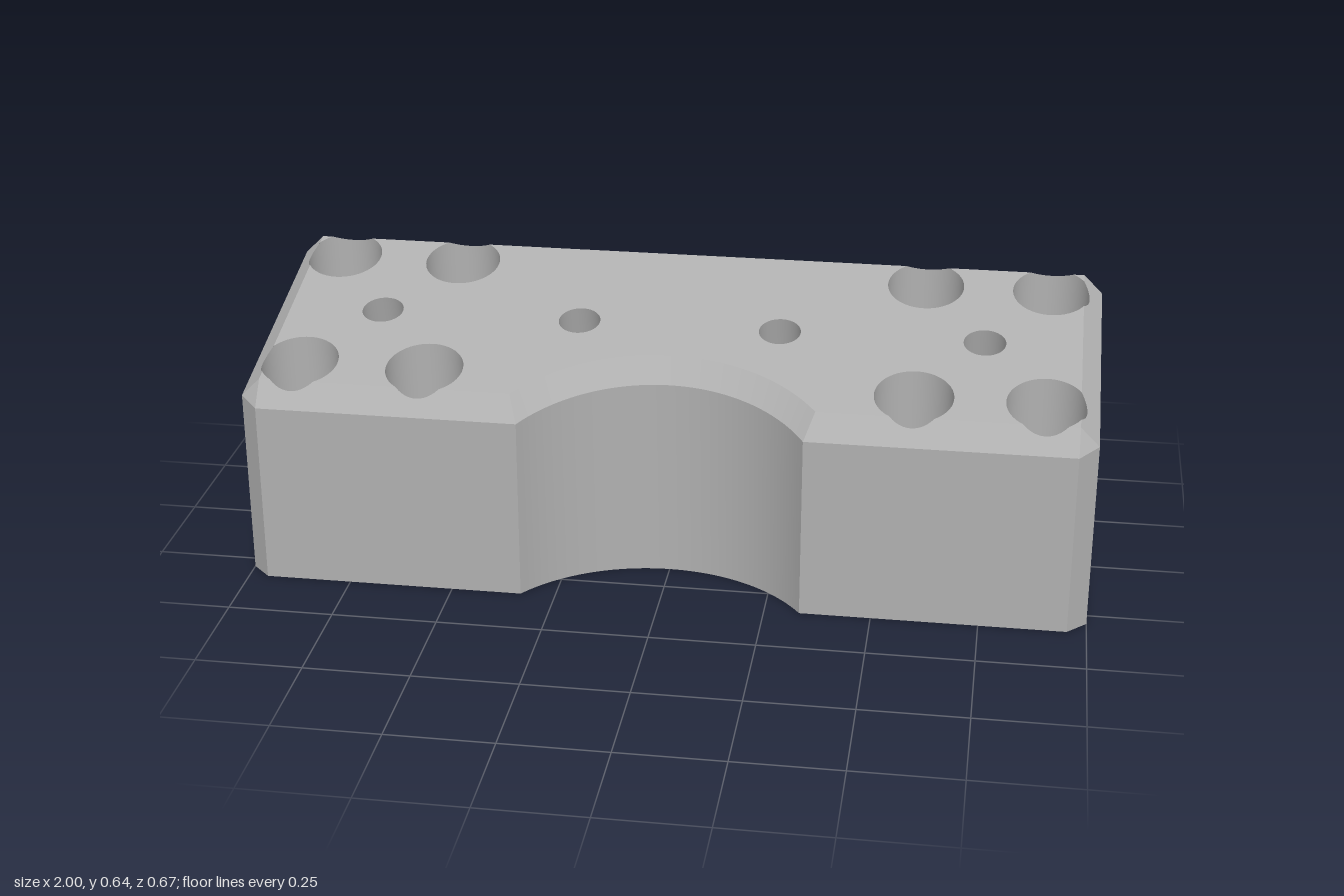
import * as THREE from 'three';

const V2 = (x, y) => new THREE.Vector2(x, y);
const V3 = (x, y, z) => new THREE.Vector3(x, y, z);
const TAU = Math.PI * 2;

// Main dimensions
const X = 1, Z = 0.335, C = 0.045;          // half width, half depth, chamfer
const SLOPE = 0.25, TOP = 0.5725, DROP = 0.0455;
const NOTCH_Z = 0.564, NOTCH_R = 0.404;
const BORE_Y = 0.153, BORE_R = 0.092;
const HOLE_R = 0.05, SINK_R = 0.092, SINK_Y = 0.3;

// Height of the sloped top, falling away across the edge chamfers
const topY = (x, z) => TOP - SLOPE * z
  - DROP / C * (Math.max(0, Math.abs(x) - X + C) + Math.max(0, Math.abs(z) - Z + C));
// Height of the lower edge of the chamfers
const rimY = z => TOP - DROP - SLOPE * z;

const circle = (cx, cy, r, n = 48, ry = r) => Array.from({ length: n }, (_, i) =>
  V2(cx + r * Math.cos(i / n * TAU), cy + ry * Math.sin(i / n * TAU)));

// Arc of the front notch, from -x to +x, ending at depth zEnd
const arc = (r, zEnd, n = 40) => {
  const a0 = Math.acos((NOTCH_Z - zEnd) / r);
  return Array.from({ length: n + 1 }, (_, i) => {
    const a = a0 * (2 * i / n - 1);
    return V2(r * Math.sin(a), NOTCH_Z - r * Math.cos(a));
  });
};

// Strip of faces between two rows of points
function loft(a, b, closed = false) {
  const n = a.length, index = [];
  for (let i = 0; i < (closed ? n : n - 1); i++) {
    const j = (i + 1) % n;
    index.push(i, j, n + i, j, n + j, n + i);
  }
  const g = new THREE.BufferGeometry().setFromPoints([...a, ...b]);
  g.setIndex(index);
  g.computeVertexNormals();
  return g;
}

// Cut convex polygons along a line, keeping both halves
function cut(polys, axis, v) {
  return polys.flatMap(poly => [1, -1].map(s => {
    const out = [];
    poly.forEach((p, i) => {
      const q = poly[(i + 1) % poly.length];
      const dp = s * (p[axis] - v), dq = s * (q[axis] - v);
      if (dp >= 0) out.push(p);
      if (dp * dq < 0) out.push(p.clone().lerp(q, dp / (dp - dq)));
    });
    return out;
  })).filter(p => p.length > 2 && Math.abs(THREE.ShapeUtils.area(p)) > 1e-9);
}

// Filled outline with holes, creased along cuts and placed in space
function plate(outline, holes, place, sign, cuts = []) {
  const all = [outline, ...holes].flat();
  let polys = THREE.ShapeUtils.triangulateShape(outline, holes).map(f => f.map(i => all[i]));
  for (const [axis, v] of cuts) polys = cut(polys, axis, v);
  const points = [];
  for (const p of polys) {
    if (THREE.ShapeUtils.area(p) * sign < 0) p.reverse();
    for (let i = 1; i < p.length - 1; i++) points.push(place(p[0]), place(p[i]), place(p[i + 1]));
  }
  const g = new THREE.BufferGeometry().setFromPoints(points);
  g.computeVertexNormals();
  return g;
}

export function createModel() {
  const group = new THREE.Group();
  group.name = 'clampBlock';
  const grey = new THREE.MeshStandardMaterial({ color: 0xb0b0b0, side: THREE.DoubleSide });
  grey.name = 'machinedGrey';
  const add = (name, geometry) => {
    const m = new THREE.Mesh(geometry, grey);
    m.name = name;
    group.add(m);
  };
  const at = (pts, y) => pts.map(p => V3(p.x, typeof y === 'function' ? y(p.x, p.y) : y, p.y));

  // Plan outlines of the body and of the top surface
  const corners = [[X - C, Z], [X, Z - C], [X, C - Z], [X - C, -Z],
    [C - X, -Z], [-X, C - Z], [-X, Z - C], [C - X, Z]].map(p => V2(...p));
  const lowArc = arc(NOTCH_R, Z), highArc = arc(NOTCH_R + C, Z - C);
  const first = lowArc[0], last = lowArc[lowArc.length - 1];
  const bolts = [];
  for (const x of [-0.877, -0.575, 0.575, 0.877]) for (const z of [-0.214, 0.214]) bolts.push([x, z]);
  const dowels = [-0.727, -0.242, 0.242, 0.727];

  // Outer walls, without the drilled end faces
  const wall = pts => loft(at(pts, 0), at(pts, (x, z) => rimY(z)));
  const path = [last, ...corners, first];
  for (let i = 0; i < path.length - 1; i++) {
    if (i !== 2 && i !== 6) add('wall', wall([path[i], path[i + 1]]));
  }
  add('notchWall', wall(lowArc));
  add('notchChamfer', loft(at(lowArc, (x, z) => rimY(z)), at(highArc, topY)));

  // End faces and the long bore through them
  const bore = circle(0, BORE_Y, BORE_R, 64);
  const d = Z - C;
  const end = [V2(-d, 0), V2(d, 0), V2(d, rimY(d)), V2(-d, rimY(-d))];
  for (const s of [1, -1]) {
    add('endFace', plate(end, [bore], p => V3(s * X, p.y, p.x), -s));
  }
  add('longBore', loft(bore.map(p => V3(-X, p.y, p.x)), bore.map(p => V3(X, p.y, p.x)), true));

  // Underside
  add('underside', plate([...corners, ...lowArc], bolts.map(([x, z]) => circle(x, z, HOLE_R)),
    p => V3(p.x, 0, p.y), 1));

  // Sloped top with its chamfers
  const tilt = Math.atan(SLOPE);
  const dowelRim = x => circle(x, 0, HOLE_R, 48, HOLE_R * Math.cos(tilt));
  add('slopedTop', plate([...corners, first, ...highArc, last],
    [...bolts.map(([x, z]) => circle(x, z, SINK_R, 64)), ...dowels.map(dowelRim)],
    p => V3(p.x, topY(p.x, p.y), p.y), -1,
    [['x', X - C], ['x', C - X], ['y', Z - C], ['y', C - Z]]));

  // Counterbored bolt holes
  for (const [x, z] of bolts) {
    const wide = circle(x, z, SINK_R, 64), narrow = circle(x, z, HOLE_R);
    add('counterbore', loft(at(wide, SINK_Y), at(wide, topY), true));
    add('counterboreFloor', plate(wide, [narrow], p => V3(p.x, SINK_Y, p.y), -1));
    add('boltHole', loft(at(narrow, 0), at(narrow, SINK_Y), true));
  }

  // Blind dowel holes, square to the slope
  const inward = V3(0, -Math.cos(tilt), -Math.sin(tilt)).multiplyScalar(0.2);
  for (const x of dowels) {
    const rim = at(dowelRim(x), topY);
    add('dowelHole', loft(rim.map(p => p.clone().add(inward)), rim, true));
    add('dowelFloor', plate(dowelRim(x), [], p => V3(p.x, topY(p.x, p.y), p.y).add(inward), -1));
  }
  return group;
}
